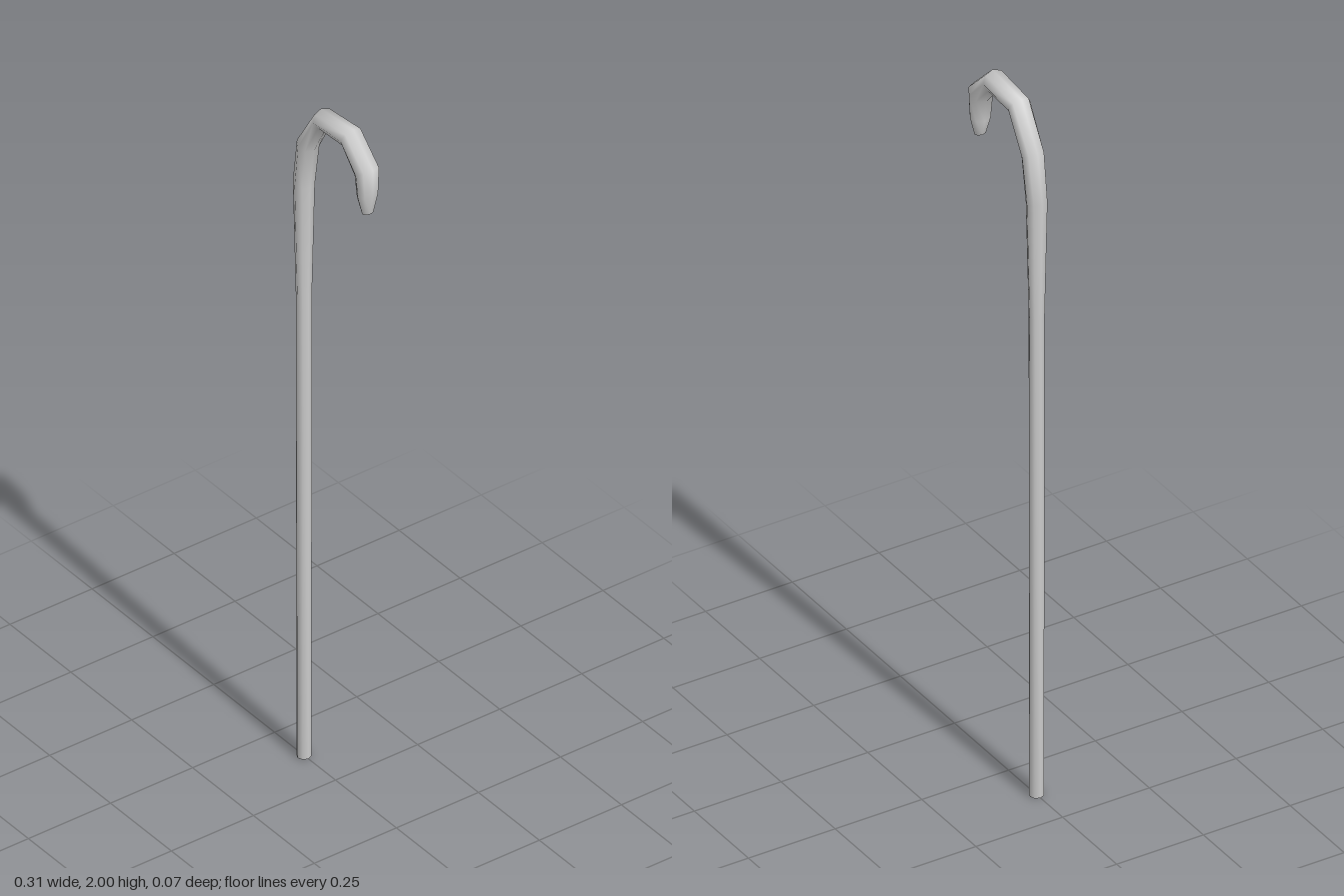
import * as THREE from 'three';

const SIDES = 8;

// Each ring: outer x, outer y, inner x, inner y, half depth in z
const RINGS = [
  [-0.148, 0, -0.111, 0, 0.019],
  [-0.150, 1.39, -0.110, 1.39, 0.020],
  [-0.156, 1.73, -0.104, 1.72, 0.028],
  [-0.136, 1.865, -0.089, 1.842, 0.031],
  [-0.060, 1.986, -0.038, 1.941, 0.032],
  [0.074, 2.0, 0.055, 1.946, 0.033],
  [0.154, 1.922, 0.104, 1.889, 0.034],
  [0.154, 1.845, 0.109, 1.828, 0.029],
  [0.144, 1.786, 0.120, 1.784, 0.016],
];

// Skin the rings into one smooth closed tube
function sweep(rings) {
  const pos = [], idx = [];
  for (const [ox, oy, ix, iy, depth] of rings) {
    for (let s = 0; s < SIDES; s++) {
      const a = (s / SIDES) * Math.PI * 2, t = (1 + Math.cos(a)) / 2;
      pos.push(ix + (ox - ix) * t, iy + (oy - iy) * t, depth * Math.sin(a));
    }
  }
  for (let r = 0; r < rings.length - 1; r++) {
    for (let s = 0; s < SIDES; s++) {
      const a = r * SIDES + s, b = r * SIDES + (s + 1) % SIDES;
      idx.push(a, b, a + SIDES, b, b + SIDES, a + SIDES);
    }
  }
  // End caps: flat foot, slightly rounded tip
  const last = (rings.length - 1) * SIDES, foot = pos.length / 3, tip = foot + 1;
  pos.push(-0.13, 0, 0, 0.132, 1.777, 0);
  for (let s = 0; s < SIDES; s++) {
    const n = (s + 1) % SIDES;
    idx.push(foot, n, s, tip, last + s, last + n);
  }
  const geo = new THREE.BufferGeometry();
  geo.setAttribute('position', new THREE.Float32BufferAttribute(pos, 3));
  geo.setIndex(idx);
  geo.computeVertexNormals();
  return geo;
}

export function createModel() {
  const group = new THREE.Group();
  group.name = 'walkingCane';
  const material = new THREE.MeshStandardMaterial({ color: 0xcccccc });

  // Straight shaft flowing into the hooked handle
  const cane = new THREE.Mesh(sweep(RINGS), material);
  cane.name = 'shaftAndHook';
  group.add(cane);
  return group;
}
